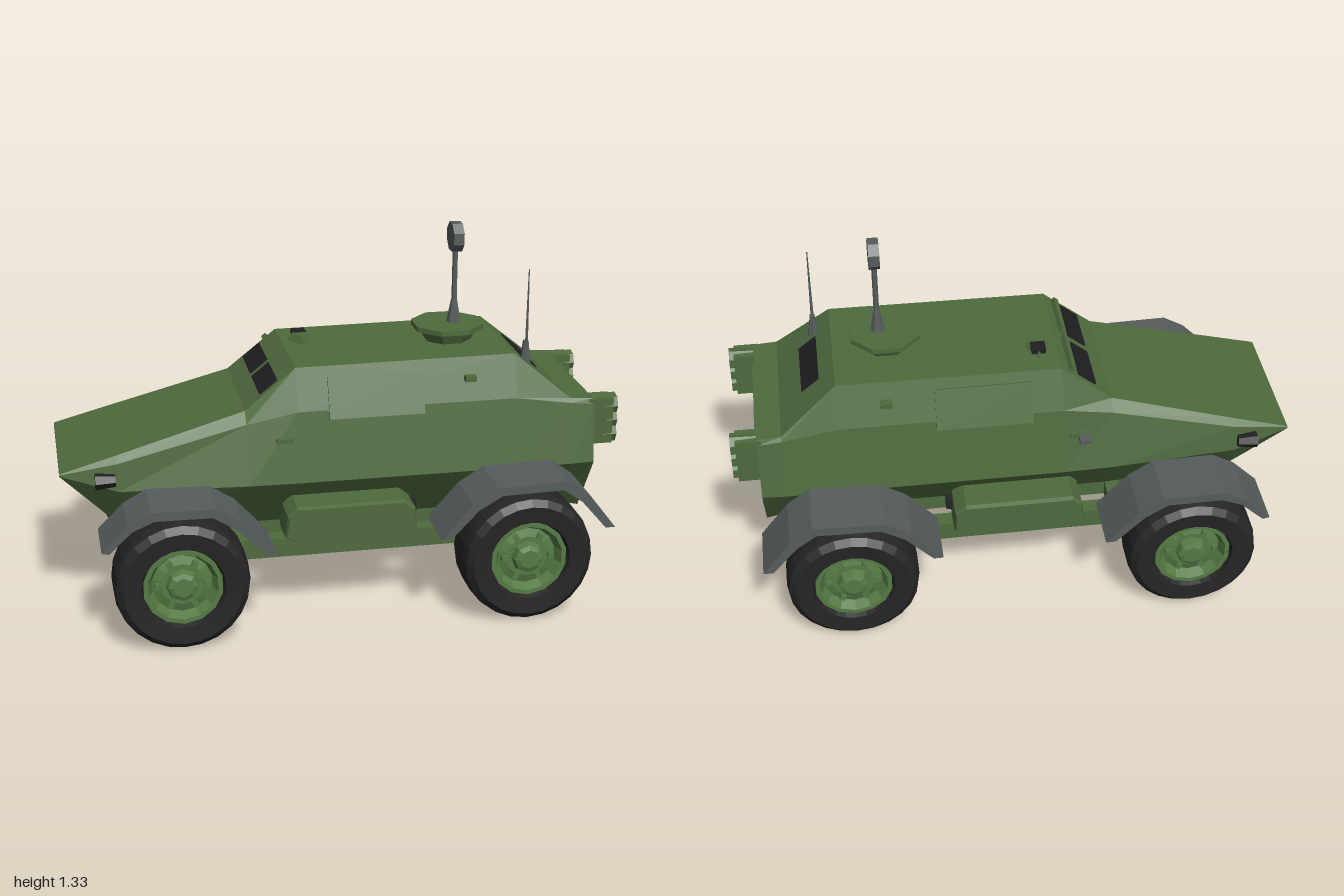
import * as THREE from 'three';

const mat = (name, color) => {
  const m = new THREE.MeshStandardMaterial({ color, flatShading: true });
  m.name = name;
  return m;
};

export function createModel() {
  const green = mat('armour green', 0x4f6b3e);
  const hubGreen = mat('wheel green', 0x557a45);
  const grey = mat('fender grey', 0x565c5c);
  const rubber = mat('tyre black', 0x252525);
  const glass = mat('dark glass', 0x1f1f22);

  const root = new THREE.Group();
  root.name = 'armouredCar';
  const add = (name, geo, m, x = 0, y = 0, z = 0, parent = root) => {
    const mesh = new THREE.Mesh(geo, m);
    mesh.name = name;
    mesh.position.set(x, y, z);
    parent.add(mesh);
    return mesh;
  };
  const box = (name, w, h, d, m, x, y, z) => add(name, new THREE.BoxGeometry(w, h, d), m, x, y, z);

  // Skin symmetric sections: [x, [y, halfWidth] x 4 from roof to belly]
  const loft = (sections) => {
    const rings = sections.map(([x, ...half]) => [
      ...half.map(([y, z]) => [x, y, z]),
      ...half.slice().reverse().map(([y, z]) => [x, y, -z]),
    ]);
    const pos = [];
    const tri = (a, b, c) => pos.push(...a, ...b, ...c);
    const n = rings[0].length;
    for (let k = 0; k < rings.length - 1; k++) {
      for (let i = 0; i < n; i++) {
        const a = rings[k], b = rings[k + 1], j = (i + 1) % n;
        tri(a[i], a[j], b[i]);
        tri(a[j], b[j], b[i]);
      }
    }
    const first = rings[0], last = rings[rings.length - 1];
    for (let i = 1; i < n - 1; i++) {
      tri(first[0], first[i + 1], first[i]);
      tri(last[0], last[i], last[i + 1]);
    }
    const g = new THREE.BufferGeometry();
    g.setAttribute('position', new THREE.Float32BufferAttribute(pos, 3));
    g.computeVertexNormals();
    return g;
  };

  // Faceted hull: nose wedge, windscreen, cabin, sloping rear
  add('hull', loft([
    [-1.0, [0.57, 0.26], [0.567, 0.262], [0.563, 0.262], [0.56, 0.255]],
    [-0.8, [0.625, 0.255], [0.60, 0.275], [0.50, 0.285], [0.33, 0.17]],
    [-0.35, [0.75, 0.235], [0.71, 0.27], [0.50, 0.32], [0.30, 0.17]],
    [-0.17, [0.895, 0.23], [0.75, 0.285], [0.50, 0.325], [0.30, 0.17]],
    [0.62, [0.90, 0.23], [0.75, 0.285], [0.50, 0.325], [0.30, 0.17]],
    [0.82, [0.735, 0.28], [0.72, 0.29], [0.50, 0.325], [0.29, 0.17]],
    [0.905, [0.73, 0.28], [0.71, 0.288], [0.50, 0.32], [0.27, 0.17]],
  ]), green);

  // Windscreen panes and rear window
  const screenTilt = Math.atan2(0.145, 0.18);
  for (const s of [1, -1]) {
    const pane = box('windscreenPane', 0.08, 0.009, 0.19, glass, -0.262, 0.823, s * 0.115);
    pane.rotation.z = screenTilt;
    const frame = box('windscreenBrow', 0.02, 0.02, 0.2, green, -0.21, 0.873, s * 0.115);
    frame.rotation.z = screenTilt;
  }
  const rearWindow = box('rearWindow', 0.08, 0.009, 0.25, glass, 0.705, 0.83, 0);
  rearWindow.rotation.z = -Math.atan2(0.165, 0.2);

  // Side doors, handles, headlights, rear racks and bins on both sides
  const sideTilt = Math.atan2(0.055, 0.15);
  for (const s of [1, -1]) {
    const door = box('sideDoor', 0.34, 0.15, 0.012, green, 0.11, 0.79, s * 0.271);
    door.rotation.x = -s * sideTilt;
    box('sideHandle', 0.06, 0.015, 0.03, green, -0.22, 0.655, s * 0.298);
    box('sideLamp', 0.04, 0.02, 0.03, green, 0.45, 0.83, s * 0.265);
    const light = add('headlight', new THREE.CylinderGeometry(0.03, 0.022, 0.07, 6), glass, -0.845, 0.545, s * 0.287);
    light.rotation.z = Math.PI / 2;

    box('rearRack', 0.09, 0.17, 0.075, green, 0.935, 0.642, s * 0.25);
    for (let i = 0; i < 3; i++) {
      const can = add('rearLampCan', new THREE.CylinderGeometry(0.036, 0.04, 0.09, 7), green, 0.952, 0.59 + i * 0.053, s * 0.25);
      can.rotation.z = Math.PI / 2;
    }

    const bin = new THREE.Shape([[-0.23, 0.33], [-0.19, 0.31], [0.19, 0.31], [0.23, 0.33], [0.225, 0.4],
      [0.19, 0.43], [-0.19, 0.43], [-0.22, 0.4]].map(([x, y]) => new THREE.Vector2(x, y)));
    add('stowageBin', new THREE.ExtrudeGeometry(bin, {
      depth: 0.12, bevelEnabled: true, bevelSize: 0.006, bevelThickness: 0.015, bevelSegments: 1,
    }), green, 0, 0, s > 0 ? 0.265 : -0.385);
    box('binBracket', 0.03, 0.04, 0.04, rubber, 0.24, 0.37, s * 0.28);
  }
  box('wingMirror', 0.04, 0.015, 0.06, grey, -0.24, 0.65, -0.32);

  // Rear door and tow gear
  box('rearDoor', 0.012, 0.38, 0.36, green, 0.906, 0.53, 0);
  box('towHook', 0.07, 0.025, 0.03, green, 0.935, 0.355, 0);
  box('towPlate', 0.02, 0.035, 0.04, rubber, 0.905, 0.365, 0);
  box('towPin', 0.02, 0.05, 0.02, green, 0.9, 0.28, -0.08);

  // Roof periscope
  const scope = add('periscope', new THREE.CylinderGeometry(0.03, 0.045, 0.025, 4), green, -0.1, 0.907, -0.09);
  scope.scale.z = 1.7;
  box('periscopeGlass', 0.05, 0.018, 0.05, glass, -0.1, 0.912, -0.12);

  // Roof hatch ring with sensor mast
  add('hatchCollar', new THREE.CylinderGeometry(0.11, 0.085, 0.05, 8), green, 0.43, 0.92, 0).rotation.y = Math.PI / 8;
  add('hatchLid', new THREE.CylinderGeometry(0.133, 0.133, 0.018, 8), green, 0.43, 0.951, 0).rotation.y = Math.PI / 8;
  const mastProfile = [[0, 0.955], [0.028, 0.955], [0.014, 1.03], [0.01, 1.05], [0.01, 1.23], [0, 1.23]];
  add('mast', new THREE.LatheGeometry(mastProfile.map(([r, y]) => new THREE.Vector2(r, y)), 7), grey, 0.455, 0, 0);
  const head = add('sensorHead', new THREE.CylinderGeometry(0.055, 0.055, 0.038, 8), grey, 0.455, 1.277, 0);
  head.rotation.set(Math.PI / 8, 0, Math.PI / 2);

  // Whip antenna
  add('antennaBase', new THREE.CylinderGeometry(0.01, 0.022, 0.09, 6), grey, 0.68, 0.88, 0.165);
  add('antennaWhip', new THREE.CylinderGeometry(0.002, 0.006, 0.29, 5), grey, 0.68, 1.045, 0.172);

  // Angular fenders
  const strip = (outer, inner) => new THREE.ExtrudeGeometry(
    new THREE.Shape([...outer, ...inner.slice().reverse()].map(([x, y]) => new THREE.Vector2(x, y))),
    { depth: 0.21, bevelEnabled: false });
  const frontFender = strip(
    [[-0.88, 0.385], [-0.79, 0.475], [-0.71, 0.52], [-0.49, 0.515], [-0.405, 0.46], [-0.29, 0.335]],
    [[-0.855, 0.38], [-0.775, 0.455], [-0.7, 0.487], [-0.505, 0.485], [-0.425, 0.435], [-0.325, 0.335]]);
  const rearFender = strip(
    [[0.29, 0.335], [0.4, 0.46], [0.49, 0.515], [0.74, 0.523], [0.82, 0.465], [0.92, 0.335]],
    [[0.325, 0.335], [0.42, 0.435], [0.505, 0.485], [0.725, 0.49], [0.795, 0.44], [0.885, 0.335]]);
  for (const z of [0.323, -0.533]) {
    add('frontFender', frontFender, grey, 0, 0, z);
    add('rearFender', rearFender, grey, 0, 0, z);
  }

  // Wheels: tyre, dished rim, hub and bolts
  const lathe = (pts, n) => new THREE.LatheGeometry(pts.map(([r, y]) => new THREE.Vector2(r, y)), n).rotateX(Math.PI / 2);
  const tyre = lathe([[0.13, -0.06], [0.145, -0.1], [0.205, -0.105], [0.228, -0.085], [0.235, -0.05], [0.235, 0.05],
    [0.228, 0.085], [0.205, 0.105], [0.145, 0.1], [0.13, 0.06]], 24);
  const rim = lathe([[0, -0.06], [0.138, -0.07], [0.138, 0.085], [0.122, 0.085], [0.105, 0.05], [0.075, 0.06], [0, 0.06]], 14);
  const hub = lathe([[0.06, 0.055], [0.052, 0.085], [0.035, 0.092], [0, 0.092]], 8);
  const bolt = new THREE.BoxGeometry(0.02, 0.02, 0.02);
  for (const x of [-0.61, 0.61]) {
    for (const s of [1, -1]) {
      const wheel = new THREE.Group();
      wheel.name = 'wheel';
      wheel.position.set(x, 0.235, s * 0.443);
      if (s < 0) wheel.rotation.y = Math.PI;
      root.add(wheel);
      add('tyre', tyre, rubber, 0, 0, 0, wheel);
      add('rim', rim, hubGreen, 0, 0, 0, wheel);
      add('hub', hub, hubGreen, 0, 0, 0, wheel);
      for (let i = 0; i < 6; i++) {
        const a = i * Math.PI / 3;
        add('bolt', bolt, hubGreen, 0.085 * Math.cos(a), 0.085 * Math.sin(a), 0.06, wheel).rotation.z = a;
      }
      // Suspension arm and spring
      box('suspensionArm', 0.07, 0.08, 0.16, green, x, 0.25, s * 0.27);
      add('spring', new THREE.CylinderGeometry(0.03, 0.03, 0.12, 8), grey, x + 0.07, 0.33, s * 0.27).rotation.x = -s * 0.3;
    }
    const axle = add('axle', new THREE.CylinderGeometry(0.035, 0.035, 0.72, 8), green, x, 0.235, 0);
    axle.rotation.x = Math.PI / 2;
    box('axleHousing', 0.14, 0.09, 0.4, green, x, 0.255, 0);
  }

  // Ladder chassis
  for (const s of [1, -1]) {
    box('chassisRail', 1.5, 0.07, 0.05, green, 0, 0.255, s * 0.12);
    box('sideStep', 0.86, 0.07, 0.06, green, 0, 0.252, s * 0.28);
  }
  for (const x of [-0.74, -0.38, 0, 0.38, 0.74]) box('crossMember', 0.05, 0.06, Math.abs(x) > 0.5 ? 0.44 : 0.56, green, x, 0.25, 0);
  return root;
}
